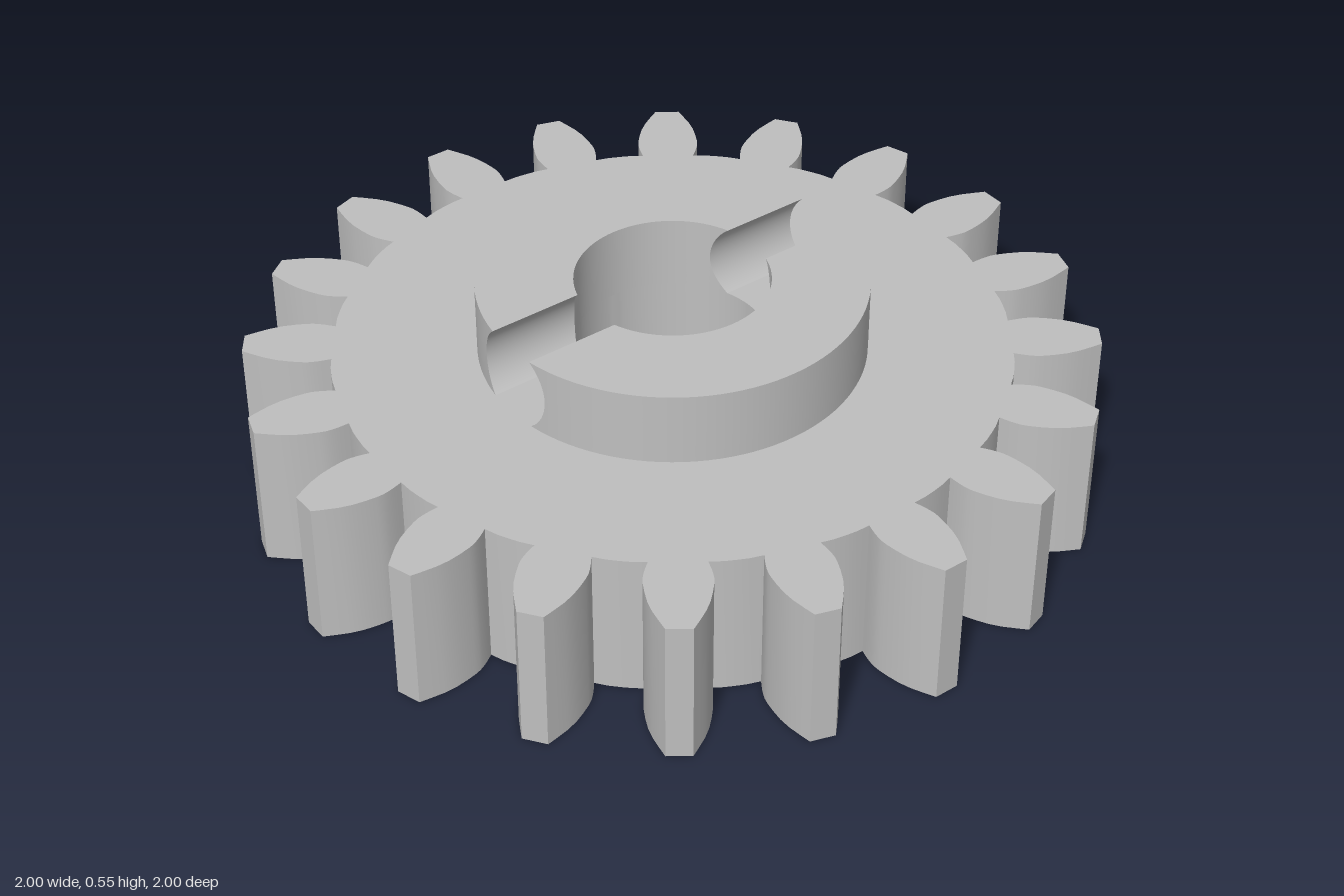
import * as THREE from 'three';
import { mergeGeometries, toCreasedNormals } from 'three/addons/utils/BufferGeometryUtils.js';
import { ParametricGeometry } from 'three/addons/geometries/ParametricGeometry.js';

const TEETH = 20;
const GEAR_HEIGHT = 0.365;
const HUB_TOP = 0.545;
const ROOT_RADIUS = 0.795;
const HUB_RADIUS = 0.455;
const BORE_RADIUS = 0.228;
const GROOVE_RADIUS = 0.115;
const GROOVE_Y = (GEAR_HEIGHT + HUB_TOP) / 2;

// Toothed disc with a round bore
function gearGeometry() {
  // One flank as (distance from tooth centre line, distance from axis)
  const flank = new THREE.SplineCurve([
    [0.064, 0.79], [0.073, 0.825], [0.075, 0.86], [0.062, 0.93], [0.03, 1.0],
  ].map(([w, r]) => new THREE.Vector2(w, r))).getPoints(10);

  const outline = [];
  for (let i = 0; i < TEETH; i++) {
    const angle = (i / TEETH) * Math.PI * 2;
    const add = (w, r) => outline.push(new THREE.Vector2(r, w).rotateAround(new THREE.Vector2(), angle));
    flank.forEach((p) => add(-p.x, p.y));
    [...flank].reverse().forEach((p) => add(p.x, p.y));
    // Rounded root between this tooth and the next
    for (const deg of [7, 9, 11]) {
      const a = THREE.MathUtils.degToRad(deg);
      add(Math.sin(a) * ROOT_RADIUS, Math.cos(a) * ROOT_RADIUS);
    }
  }
  const shape = new THREE.Shape(outline);
  shape.holes.push(new THREE.Path().absarc(0, 0, BORE_RADIUS, 0, Math.PI * 2, true));
  const geometry = new THREE.ExtrudeGeometry(shape, {
    depth: GEAR_HEIGHT, bevelEnabled: false, curveSegments: 72,
  });
  geometry.rotateX(-Math.PI / 2);
  return toCreasedNormals(geometry, THREE.MathUtils.degToRad(25));
}

// Half of the hub collar, bounded by a round cross groove along x
function hubHalfGeometry() {
  const limit = Math.asin((HUB_TOP - GROOVE_Y) / GROOVE_RADIUS);
  // t runs along the arc, v up the groove wall
  const place = (r, t, v, target) => {
    const phi = (v * 2 - 1) * limit;
    const start = Math.asin((GROOVE_RADIUS * Math.cos(phi)) / r);
    const angle = start + t * (Math.PI - 2 * start);
    target.set(r * Math.cos(angle), GROOVE_Y + GROOVE_RADIUS * Math.sin(phi), r * Math.sin(angle));
  };
  const radius = (u) => THREE.MathUtils.lerp(BORE_RADIUS, HUB_RADIUS, u);
  return mergeGeometries([
    // Outer wall, bore wall, top face
    new ParametricGeometry((u, v, p) => place(HUB_RADIUS, 1 - u, v, p), 48, 16),
    new ParametricGeometry((u, v, p) => place(BORE_RADIUS, u, v, p), 36, 16),
    new ParametricGeometry((u, v, p) => place(radius(v), u, 1, p), 48, 4),
    // Groove walls on either side of the bore
    new ParametricGeometry((u, v, p) => place(radius(1 - u), 0, v, p), 6, 16),
    new ParametricGeometry((u, v, p) => place(radius(u), 1, v, p), 6, 16),
  ]);
}

export function createModel() {
  const steel = new THREE.MeshStandardMaterial({ color: 0xbfbfbf });
  steel.name = 'grey steel';

  const model = new THREE.Group();
  model.name = 'spurGear';

  const gear = new THREE.Mesh(gearGeometry(), steel);
  gear.name = 'toothedDisc';
  model.add(gear);

  const half = hubHalfGeometry();
  ['hubFrontHalf', 'hubBackHalf'].forEach((name, i) => {
    const mesh = new THREE.Mesh(half, steel);
    mesh.name = name;
    mesh.rotation.y = i * Math.PI;
    model.add(mesh);
  });
  return model;
}
